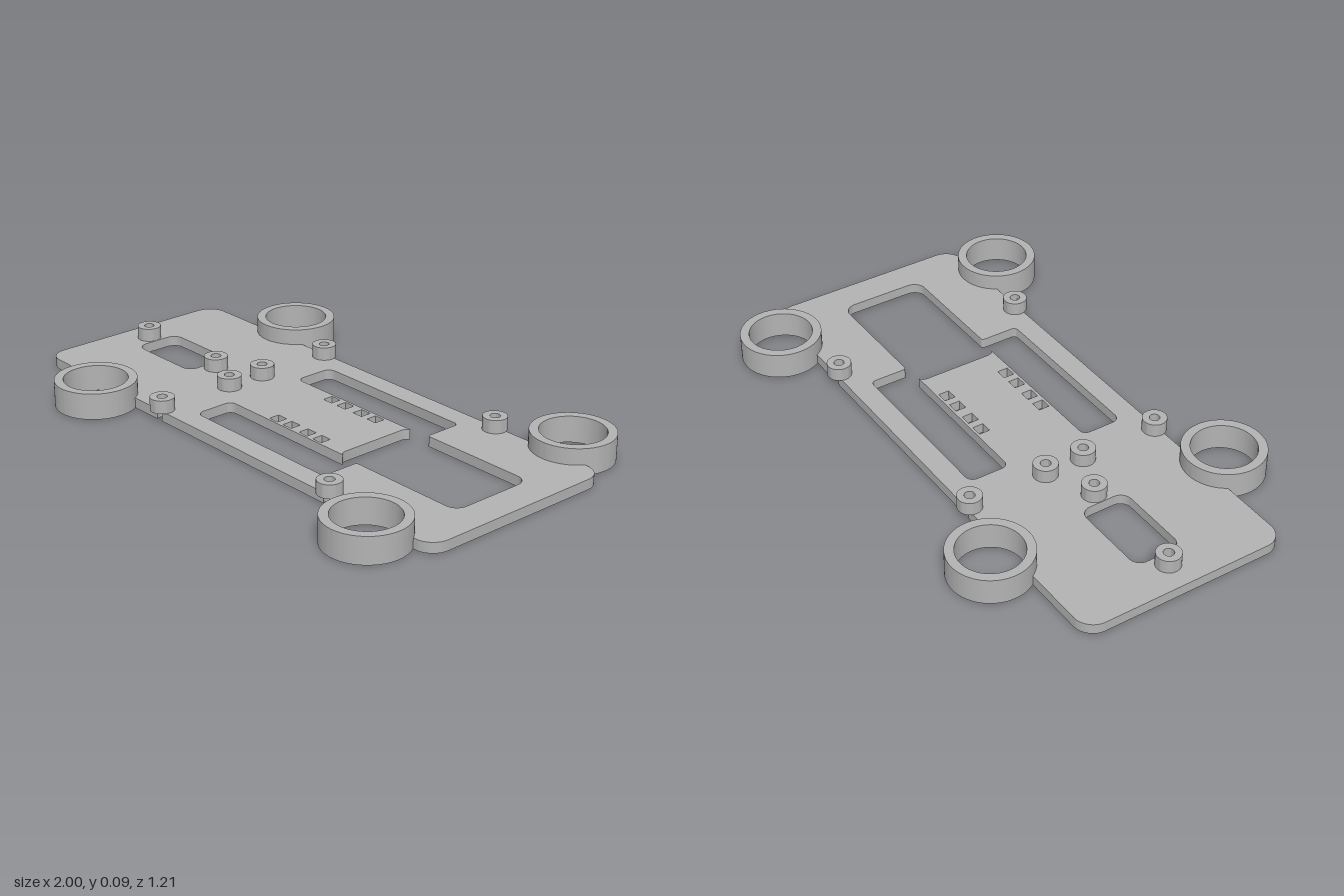
import * as THREE from 'three';
import { toCreasedNormals } from 'three/addons/utils/BufferGeometryUtils.js';

const PLATE_H = 0.037, HALF_D = 0.383;
const RING = { x: [-0.588, 0.8], z: 0.46, outer: 0.145, inner: 0.113, h: 0.095 };
const POST = { outer: 0.043, inner: 0.018, top: 0.085 };
const EDGE_POSTS = { x: [-0.325, 0.535], z: 0.37 };
const INNER_POSTS = [[-0.895, 0], [-0.495, 0], [-0.325, -0.075], [-0.325, 0.075]];

// Adds one rounded corner b (between a and c) to a path
function corner(path, a, b, c) {
  const r = b[2] || 0;
  if (!r) return path.lineTo(b[0], b[1]);
  const B = new THREE.Vector2(b[0], b[1]);
  const u = new THREE.Vector2(a[0], a[1]).sub(B).normalize();
  const v = new THREE.Vector2(c[0], c[1]).sub(B).normalize();
  const at = (d, s) => B.clone().addScaledVector(d, s);
  const p = at(u, r), p1 = at(u, r * 0.448), q1 = at(v, r * 0.448), q = at(v, r);
  path.lineTo(p.x, p.y);
  return path.bezierCurveTo(p1.x, p1.y, q1.x, q1.y, q.x, q.y);
}

// Closed polygon from [x, z, cornerRadius] points
function roundedPath(points) {
  const path = new THREE.Path(), n = points.length;
  const [a, b] = [points[n - 1], points[0]];
  path.moveTo((a[0] + b[0]) / 2, (a[1] + b[1]) / 2);
  points.forEach((p, i) => corner(path, points[(i + n - 1) % n], p, points[(i + 1) % n]));
  path.closePath();
  return path;
}

function rectPath(x0, x1, z0, z1, r) {
  return roundedPath([[x0, z0, r], [x1, z0, r], [x1, z1, r], [x0, z1, r]]);
}

function circlePath(x, z, r, Type = THREE.Path) {
  return new Type().absarc(x, z, r, 0, Math.PI * 2, false);
}

// Extrudes a plan (x, z) shape upward from y0 to y1
function slab(shape, y0, y1, segments) {
  const g = new THREE.ExtrudeGeometry(shape, { depth: y1 - y0, bevelEnabled: false, curveSegments: segments });
  g.rotateX(Math.PI / 2);
  g.translate(0, y1, 0);
  return toCreasedNormals(g, 0.6);
}

// Plate outline, with bites where rings and post bores cross the long edges
function plateOutline() {
  const s = new THREE.Shape(), r = 0.07;
  const bites = [
    ...RING.x.map((x) => ({ x, z: RING.z, r: 0.129 })),
    ...EDGE_POSTS.x.map((x) => ({ x, z: EDGE_POSTS.z, r: POST.inner })),
  ].sort((a, b) => a.x - b.x);
  s.moveTo(-1, 0);
  for (const k of [-1, 1]) {
    const z = k * HALF_D, turn = k < 0 ? 0 : Math.PI;
    corner(s, [k, 0], [k, z, r], [-k, z]);
    for (const b of k < 0 ? bites : [...bites].reverse()) {
      const a = Math.asin((b.z - HALF_D) / b.r);
      s.absarc(b.x, k * b.z, b.r, Math.PI - a + turn, a + turn, true);
    }
    corner(s, [k, z], [-k, z, r], [-k, 0]);
  }
  s.closePath();
  return s;
}

// One side of the large opening, which leaves a tongue in the middle
const openingHalf = [
  [0.34, -0.13], [0.345, -0.144], [0.355, -0.152], [-0.22, -0.152, 0.025],
  [-0.22, -0.303, 0.03], [0.43, -0.303, 0.018], [0.43, -0.16, 0.01], [0.88, -0.16, 0.045],
];

export function createModel() {
  const model = new THREE.Group();
  model.name = 'chassis';
  const grey = new THREE.MeshStandardMaterial({ color: 0xb3b3b3 });
  grey.name = 'grey';
  const add = (name, geometry, x = 0, z = 0) => {
    const mesh = new THREE.Mesh(geometry, grey);
    mesh.name = name;
    mesh.position.set(x, 0, z);
    model.add(mesh);
  };

  // Base plate with its openings
  const plate = plateOutline();
  const mirrored = openingHalf.map(([x, z, r]) => [x, -z, r]).reverse();
  plate.holes.push(roundedPath([...openingHalf, ...mirrored]));
  plate.holes.push(rectPath(-0.85, -0.54, -0.088, 0.088, 0.04));
  for (const [x, z] of INNER_POSTS) plate.holes.push(circlePath(x, z, POST.inner));
  for (const x of [-0.005, 0.065, 0.147, 0.217])
    for (const z of [-0.122, 0.122])
      plate.holes.push(rectPath(x - 0.021, x + 0.021, z - 0.02, z + 0.02, 0));
  add('basePlate', slab(plate, 0, PLATE_H, 16));

  // Four large corner rings
  const ringShape = circlePath(0, 0, RING.outer, THREE.Shape);
  ringShape.holes.push(circlePath(0, 0, RING.inner));
  const ring = slab(ringShape, 0, RING.h, 64);
  for (const x of RING.x) for (const k of [-1, 1]) add('cornerRing', ring, x, k * RING.z);

  // Hollow mounting posts
  const postShape = circlePath(0, 0, POST.outer, THREE.Shape);
  postShape.holes.push(circlePath(0, 0, POST.inner));
  const post = slab(postShape, PLATE_H, POST.top, 32);
  for (const [x, z] of INNER_POSTS) add('mountingPost', post, x, z);
  for (const x of EDGE_POSTS.x) for (const k of [-1, 1]) add('edgePost', post, x, k * EDGE_POSTS.z);

  return model;
}
